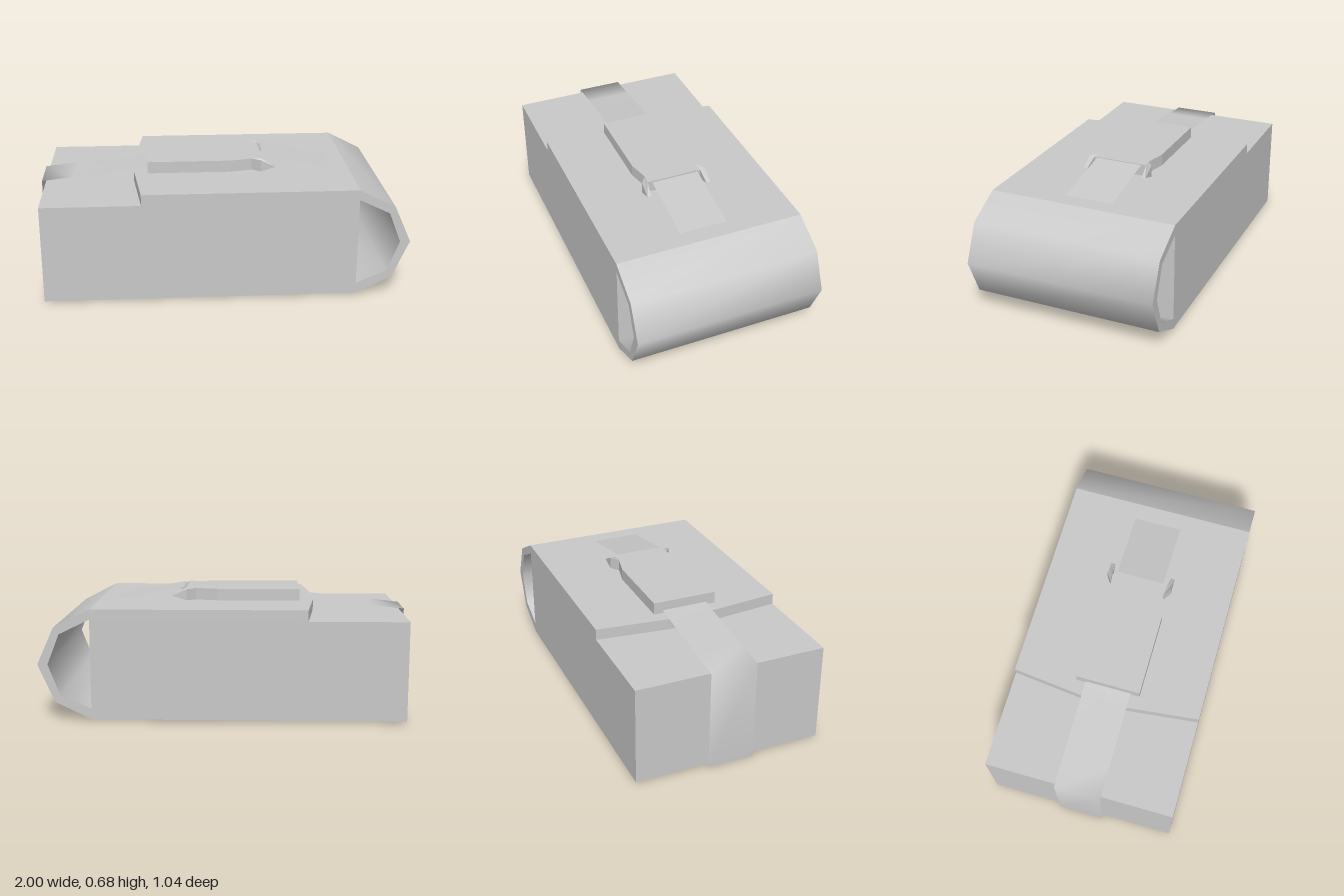
import * as THREE from 'three';
import { toCreasedNormals } from 'three/addons/utils/BufferGeometryUtils.js';

const grey = new THREE.MeshStandardMaterial({ color: 0xc8c8c8, side: THREE.DoubleSide });
const HALF = 0.52;

function toShape(points) {
  return new THREE.Shape(points.map(([x, y]) => new THREE.Vector2(x, y)));
}

// Plate with an outline in x and z, between two heights
function plate(points, bottom, top) {
  const g = new THREE.ExtrudeGeometry(toShape(points), { depth: top - bottom, bevelEnabled: false });
  return g.rotateX(Math.PI / 2).translate(0, top, 0);
}

// Outline mirrored across z = 0
function mirrored(half) {
  return [...half, ...half.map(([x, z]) => [x, -z]).reverse()];
}

// Thin smooth band following a path in x and y, running towards -x
function band(path, halfWidth) {
  const positions = [], index = [];
  path.forEach(([x, y], i) => {
    positions.push(x, y, -halfWidth, x, y, halfWidth);
    if (i < path.length - 1) {
      const a = 2 * i;
      index.push(a, a + 2, a + 1, a + 1, a + 2, a + 3);
    }
  });
  const g = new THREE.BufferGeometry();
  g.setAttribute('position', new THREE.Float32BufferAttribute(positions, 3));
  g.setIndex(index);
  g.computeVertexNormals();
  return g;
}

export function createModel() {
  const model = new THREE.Group();
  const add = (name, geometry) => {
    const mesh = new THREE.Mesh(geometry, grey);
    mesh.name = name;
    model.add(mesh);
  };

  // Main block
  add('body', new THREE.BoxGeometry(1.695, 0.54, 2 * HALF).translate(-0.1325, 0.28, 0));

  // Raised flap with a slightly pointed edge
  add('coverFlap', plate(mirrored([[0.715, HALF], [-0.445, HALF], [-0.488, 0.13]]), 0.55, 0.61));

  // Hollow faceted spine, open at both ends
  const outer = [[0.715, 0.01], [0.91, 0.105], [1, 0.31], [0.91, 0.51], [0.715, 0.61]];
  const inner = [[0.715, 0.555], [0.88, 0.475], [0.945, 0.31], [0.88, 0.14], [0.715, 0.07]];
  const spine = new THREE.ExtrudeGeometry(toShape([...outer, ...inner]), { depth: 2 * HALF, bevelEnabled: false });
  add('spine', toCreasedNormals(spine.translate(0, 0, -HALF), 0.95));

  // Clasp with two prongs tapering to a wedge
  const clasp = plate(mirrored([
    [-0.41, 0.178], [0.05, 0.178], [0.17, 0.15], [0.22, 0.185],
    [0.3, 0.185], [0.3, 0.163], [0.225, 0.155],
  ]), 0.61, 0.675);
  const p = clasp.attributes.position;
  for (let i = 0; i < p.count; i++) if (p.getX(i) > 0.29) p.setY(i, 0.635);
  add('clasp', toCreasedNormals(clasp, 0.2));

  // Strap over the flap edge and down the end, and the tongue facing the clasp
  add('strap', band([[-0.4, 0.627], [-0.488, 0.613], [-0.82, 0.58], [-1, 0.56], [-1, 0]], 0.127));
  add('tongue', band([[0.62, 0.61], [0.24, 0.678]], 0.133));

  return model;
}
